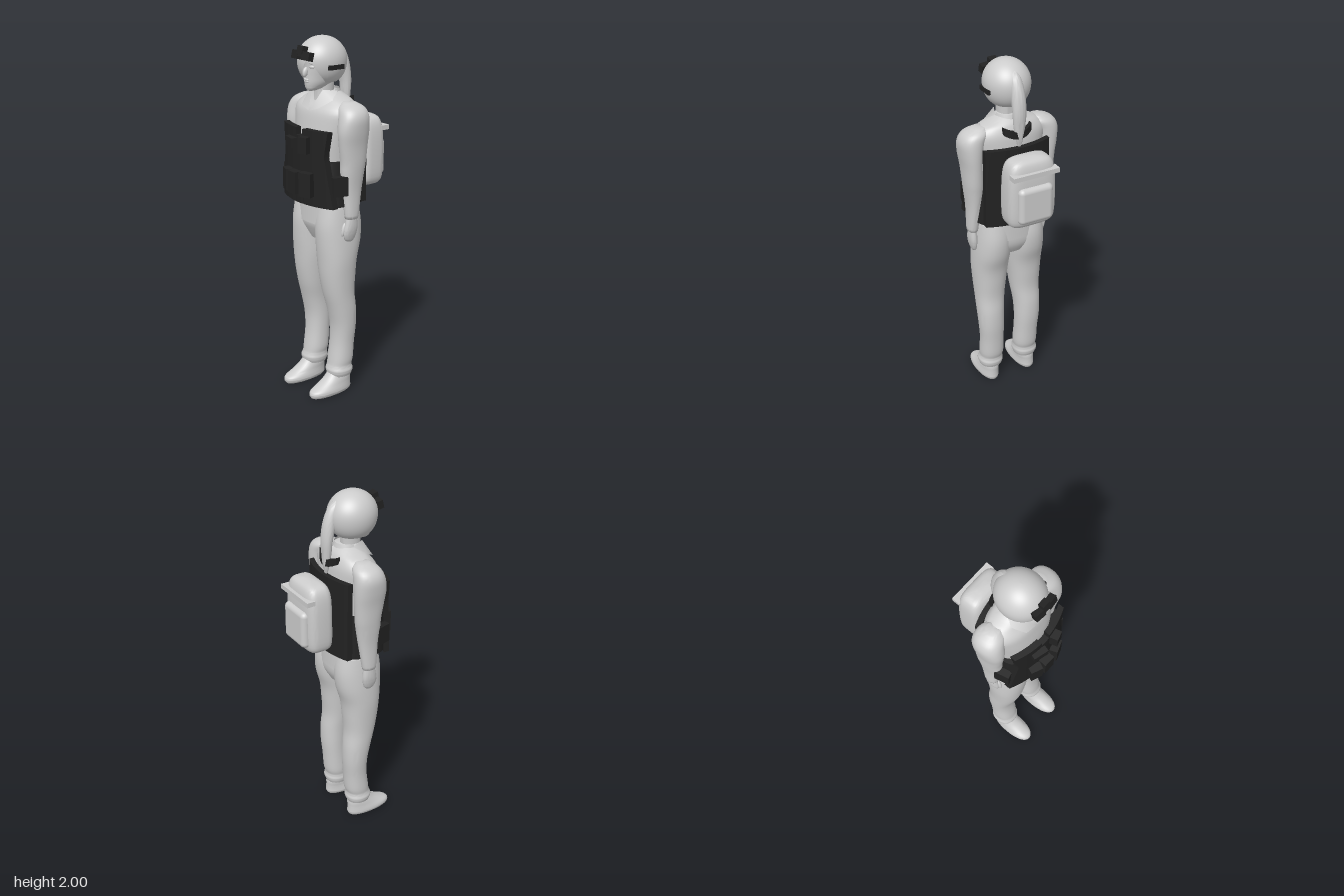
import * as THREE from 'three';
import { toCreasedNormals } from 'three/addons/utils/BufferGeometryUtils.js';
import { RoundedBoxGeometry } from 'three/addons/geometries/RoundedBoxGeometry.js';

const lightGrey = new THREE.MeshStandardMaterial({ color: 0xcccccc, side: THREE.DoubleSide });
lightGrey.name = 'lightGrey';
const black = new THREE.MeshStandardMaterial({ color: 0x222222 });
black.name = 'black';

function add(parent, name, geometry, material, pos = [0, 0, 0], rot = [0, 0, 0]) {
  const m = new THREE.Mesh(geometry, material);
  m.name = name;
  m.position.set(...pos);
  m.rotation.set(...rot);
  parent.add(m);
  return m;
}

// Smooth body through rows [y, centreX, centreZ, radiusX, radiusZ], lowest first
function loft(rows, { n = 2, seg = 32, sub = 4, side = 1 } = {}) {
  const fine = [];
  const last = rows.length - 1;
  for (let i = 0; i < last; i++) {
    const [p, a, b, q] = [rows[Math.max(i - 1, 0)], rows[i], rows[i + 1], rows[Math.min(i + 2, last)]];
    for (let k = 0; k < sub; k++) {
      const t = k / sub;
      fine.push(a.map((v, c) => 0.5 * (2 * v + (b[c] - p[c]) * t
        + (2 * p[c] - 5 * v + 4 * b[c] - q[c]) * t * t + (3 * v - p[c] - 3 * b[c] + q[c]) * t ** 3)));
    }
  }
  fine.push(rows[last]);
  const pos = [], idx = [];
  const pow = (v) => Math.sign(v) * Math.abs(v) ** (2 / n);
  for (const [y, cx, cz, rx, rz] of fine) {
    for (let j = 0; j < seg; j++) {
      const t = (j / seg) * Math.PI * 2;
      pos.push(side * cx + rx * pow(Math.cos(t)), y, cz + rz * pow(Math.sin(t)));
    }
  }
  const top = fine.length - 1;
  const c0 = fine.length * seg;
  for (const r of [fine[0], fine[top]]) pos.push(side * r[1], r[0], r[2]);
  for (let j = 0; j < seg; j++) {
    const k = (j + 1) % seg;
    for (let i = 0; i < top; i++) {
      const a = i * seg + j, b = i * seg + k;
      idx.push(a, a + seg, b, b, a + seg, b + seg);
    }
    idx.push(c0, j, k, c0 + 1, top * seg + k, top * seg + j);
  }
  const g = new THREE.BufferGeometry();
  g.setAttribute('position', new THREE.Float32BufferAttribute(pos, 3));
  g.setIndex(idx);
  return toCreasedNormals(g, 1.0);
}

// Thick plate bent by zAt(x), widened by widthAt(y) and lifted by liftAt(x)
function bentPanel(x0, x1, y0, y1, thick, zAt, widthAt = () => 1, liftAt = () => 0) {
  const g = new THREE.BoxGeometry(1, 1, 1, 14, 12, 1);
  const p = g.attributes.position;
  for (let i = 0; i < p.count; i++) {
    const y = y0 + (p.getY(i) + 0.5) * (y1 - y0);
    const x = (x0 + (p.getX(i) + 0.5) * (x1 - x0)) * widthAt(y);
    p.setXYZ(i, x, y + liftAt(x), zAt(x) + (p.getZ(i) - 0.5) * thick);
  }
  return toCreasedNormals(g, 0.6);
}

// Hair cap with a triangular opening over one side of the face
function hairCap() {
  const cols = 96, rows = 28, pos = [], idx = [];
  for (let j = 0; j < cols; j++) {
    const a = (j / cols) * Math.PI * 2 - Math.PI;
    let end = 2.62;
    if (a > -0.35 && a <= 0.36) end = THREE.MathUtils.mapLinear(a, -0.35, 0.36, 2.62, 1.3);
    else if (a > 0.36 && a < 1.15) end = THREE.MathUtils.mapLinear(a, 0.36, 1.15, 1.3, 2.55);
    for (let i = 0; i <= rows; i++) {
      const th = (i / rows) * end;
      const r = th > Math.PI / 2 ? Math.sin(th) ** 0.7 : Math.sin(th);
      pos.push(-0.01 + 0.126 * r * Math.sin(a), 1.873 + 0.127 * Math.cos(th), 0.075 + 0.136 * r * Math.cos(a));
    }
  }
  for (let j = 0; j < cols; j++) for (let i = 0; i < rows; i++) {
    const a = j * (rows + 1) + i, b = ((j + 1) % cols) * (rows + 1) + i;
    idx.push(a, a + 1, b, b, a + 1, b + 1);
  }
  const g = new THREE.BufferGeometry();
  g.setAttribute('position', new THREE.Float32BufferAttribute(pos, 3));
  g.setIndex(idx);
  g.computeVertexNormals();
  return g;
}

function blob(rx, ry, rz) {
  return new THREE.SphereGeometry(1, 20, 14).scale(rx, ry, rz);
}

export function createModel() {
  const model = new THREE.Group();
  model.name = 'figure';

  // Torso and hips
  add(model, 'torso', loft([
    [1.0, 0, 0.055, 0.19, 0.13], [1.15, 0, 0.055, 0.185, 0.13], [1.3, 0, 0.06, 0.168, 0.125],
    [1.45, 0, 0.06, 0.185, 0.13], [1.55, 0, 0.055, 0.205, 0.125], [1.62, 0, 0.05, 0.21, 0.115],
    [1.665, 0, 0.04, 0.17, 0.09], [1.69, 0, 0.04, 0.11, 0.075], [1.715, 0, 0.05, 0.06, 0.055]], { n: 2.3, seg: 40 }), lightGrey);
  add(model, 'hips', loft([
    [0.9, 0, 0.05, 0.1, 0.09], [0.95, 0, 0.05, 0.175, 0.115], [1.0, 0, 0.055, 0.198, 0.128],
    [1.07, 0, 0.055, 0.197, 0.125], [1.14, 0, 0.055, 0.19, 0.12]], { n: 2.3, seg: 40 }), lightGrey);

  for (const side of [1, -1]) {
    const tag = side > 0 ? 'left' : 'right';
    const limb = (name, rows, n = 2.2) => add(model, tag + name, loft(rows, { n, side }), lightGrey);
    limb('Leg', [
      [0.1, 0.115, 0.058, 0.064, 0.066], [0.13, 0.115, 0.058, 0.073, 0.076], [0.16, 0.113, 0.056, 0.066, 0.068],
      [0.2, 0.112, 0.048, 0.07, 0.07], [0.3, 0.113, 0.038, 0.069, 0.067], [0.4, 0.117, 0.034, 0.073, 0.071],
      [0.5, 0.118, 0.044, 0.077, 0.08], [0.6, 0.113, 0.062, 0.084, 0.088], [0.7, 0.11, 0.068, 0.093, 0.1],
      [0.8, 0.107, 0.068, 0.102, 0.11], [0.9, 0.104, 0.058, 0.104, 0.128], [1.0, 0.1, 0.055, 0.102, 0.133],
      [1.1, 0.098, 0.055, 0.095, 0.118]]);
    limb('Shoe', [
      [0, 0.12, 0.128, 0.048, 0.13], [0.015, 0.12, 0.128, 0.06, 0.138], [0.035, 0.12, 0.125, 0.06, 0.134],
      [0.06, 0.119, 0.1, 0.055, 0.108], [0.09, 0.117, 0.075, 0.052, 0.083], [0.13, 0.115, 0.06, 0.045, 0.06]]);
    limb('Arm', [
      [1.05, 0.215, 0.055, 0.026, 0.036], [1.07, 0.215, 0.055, 0.03, 0.042], [1.2, 0.21, 0.05, 0.037, 0.057],
      [1.3, 0.21, 0.048, 0.047, 0.07], [1.36, 0.213, 0.045, 0.05, 0.076], [1.45, 0.218, 0.048, 0.052, 0.086],
      [1.53, 0.222, 0.05, 0.06, 0.092], [1.6, 0.217, 0.045, 0.068, 0.085], [1.645, 0.195, 0.04, 0.065, 0.07],
      [1.672, 0.17, 0.038, 0.035, 0.035]]);
    limb('Hand', [
      [0.92, 0.207, 0.062, 0.009, 0.016], [0.935, 0.208, 0.063, 0.015, 0.032], [0.97, 0.212, 0.062, 0.021, 0.042],
      [1.01, 0.215, 0.058, 0.023, 0.04], [1.07, 0.215, 0.055, 0.023, 0.03]]);
    add(model, tag + 'Thumb', blob(0.011, 0.038, 0.012), lightGrey, [side * 0.203, 0.99, 0.1], [-0.25, 0, 0]);

    // Folded shirt collar
    const flap = new THREE.BufferGeometry();
    const pts = [[0.004, 1.615, 0.172], [0.045, 1.725, 0.115], [0.075, 1.715, 0.04], [0.112, 1.675, 0.1], [0.07, 1.635, 0.168]];
    flap.setAttribute('position', new THREE.Float32BufferAttribute(pts.flatMap(([x, y, z]) => [side * x, y, z]), 3));
    flap.setIndex(side > 0 ? [0, 4, 1, 1, 4, 3, 1, 3, 2] : [0, 1, 4, 1, 3, 4, 1, 2, 3]);
    flap.computeVertexNormals();
    add(model, tag + 'CollarFlap', flap, lightGrey);
  }
  add(model, 'collarBack', new THREE.CylinderGeometry(0.066, 0.085, 0.06, 24, 1, true, Math.PI / 2, Math.PI), lightGrey, [0, 1.695, 0.05]);

  // Neck, face and hair
  add(model, 'neck', loft([[1.6, 0, 0.075, 0.06, 0.07], [1.68, 0, 0.072, 0.048, 0.056], [1.8, 0, 0.07, 0.05, 0.06]]), lightGrey);
  add(model, 'face', loft([
    [1.722, 0.005, 0.155, 0.018, 0.025], [1.735, 0.005, 0.135, 0.036, 0.055], [1.765, 0.005, 0.105, 0.057, 0.09],
    [1.8, 0.005, 0.09, 0.068, 0.105], [1.85, 0.005, 0.083, 0.08, 0.112], [1.9, 0.002, 0.08, 0.088, 0.118],
    [1.95, 0, 0.08, 0.075, 0.09]]), lightGrey);
  add(model, 'nose', blob(0.012, 0.027, 0.016), lightGrey, [0.01, 1.823, 0.2], [-0.3, 0, 0]);
  add(model, 'upperLip', blob(0.021, 0.006, 0.009), lightGrey, [0.008, 1.783, 0.194]);
  add(model, 'lowerLip', blob(0.018, 0.007, 0.009), lightGrey, [0.008, 1.773, 0.191]);
  add(model, 'leftEye', blob(0.016, 0.008, 0.007), lightGrey, [0.042, 1.85, 0.182], [0, 0.4, 0]);
  add(model, 'leftBrow', blob(0.023, 0.006, 0.008), lightGrey, [0.045, 1.87, 0.182], [0, 0.4, 0]);
  add(model, 'hair', hairCap(), lightGrey);
  add(model, 'ponytail', loft([
    [1.56, -0.002, -0.08, 0.006, 0.006], [1.61, -0.002, -0.08, 0.02, 0.016], [1.68, -0.003, -0.078, 0.032, 0.024],
    [1.76, -0.004, -0.076, 0.038, 0.03], [1.85, -0.005, -0.058, 0.037, 0.037], [1.93, -0.005, -0.025, 0.03, 0.036],
    [1.97, -0.005, 0.01, 0.012, 0.02]]), lightGrey);

  // Goggles and side clip
  const goggles = new THREE.Group();
  goggles.name = 'goggles';
  model.add(goggles);
  for (const s of [1, -1]) {
    add(goggles, 'goggleTube', new THREE.BoxGeometry(0.058, 0.045, 0.035), black, [s * 0.043, 1.908, 0.212], [-0.25, s * 0.12, 0]);
  }
  add(goggles, 'goggleBridge', new THREE.BoxGeometry(0.05, 0.028, 0.03), black, [0, 1.915, 0.215], [-0.25, 0, 0]);
  add(goggles, 'goggleMount', new THREE.BoxGeometry(0.046, 0.045, 0.035), black, [0, 1.935, 0.212], [-0.25, 0, 0]);
  add(model, 'sideClip', new THREE.BoxGeometry(0.018, 0.024, 0.096), black, [0.112, 1.848, 0.077]);

  // Vest: waist band, chest panel with a notch, back panel
  const frontZ = (x) => 0.238 - 1.15 * x * x;
  const frontWidth = (y) => (y > 1.4 ? 1 + (y - 1.4) * 0.95 : 1 + (1.4 - y) * 1.05) * 0.9;
  const vest = new THREE.Group();
  vest.name = 'vest';
  model.add(vest);
  add(vest, 'waistBand', loft([
    [1.12, 0, 0.066, 0.215, 0.168], [1.24, 0, 0.066, 0.203, 0.167], [1.36, 0, 0.066, 0.188, 0.164]], { n: 2.5, seg: 48 }), black);
  add(vest, 'chestPanelCentre', bentPanel(-0.03, 0.027, 1.12, 1.49, 0.035, frontZ), black);
  add(vest, 'chestPanelLeft', bentPanel(0.027, 0.187, 1.12, 1.53, 0.035, frontZ, frontWidth), black);
  add(vest, 'chestPanelRight', bentPanel(-0.187, -0.03, 1.12, 1.53, 0.035, frontZ, frontWidth), black);
  add(vest, 'backPanel', bentPanel(-0.19, 0.19, 1.12, 1.57, 0.03, (x) => -0.076 + 1.1 * x * x), black);
  add(vest, 'neckStrap', bentPanel(-0.08, 0.08, 1.615, 1.655, 0.025, (x) => -0.07 + 4 * x * x, () => 1, (x) => 4 * x * x), black);

  // Pouches: [x, y, width, height, depth]
  for (const [x, y, w, h, d] of [
    [-0.085, 1.24, 0.068, 0.12, 0.045], [-0.01, 1.24, 0.068, 0.12, 0.05], [0.077, 1.24, 0.074, 0.13, 0.045],
    [-0.058, 1.45, 0.085, 0.05, 0.035], [0.063, 1.452, 0.055, 0.088, 0.045]]) {
    add(vest, 'frontPouch', new THREE.BoxGeometry(w, h, d), black, [x, y, frontZ(x) + d / 2 - 0.004], [0, Math.atan(2.3 * x) * 2, 0]);
  }
  for (const s of [1, -1]) {
    add(vest, 'sidePouch', new THREE.BoxGeometry(0.04, 0.105, 0.085), black, [s * 0.212, 1.24, 0.135], [0, -s * 0.25, 0]);
  }

  // Backpack
  const pack = new THREE.Group();
  pack.name = 'backpack';
  model.add(pack);
  add(pack, 'packBody', loft([
    [1.165, 0, -0.18, 0.08, 0.035], [1.18, 0, -0.18, 0.115, 0.06], [1.22, 0, -0.18, 0.136, 0.076],
    [1.35, 0, -0.182, 0.14, 0.078], [1.47, 0, -0.182, 0.135, 0.076], [1.53, 0, -0.182, 0.12, 0.065],
    [1.555, 0, -0.182, 0.09, 0.045], [1.565, 0, -0.182, 0.03, 0.015]], { n: 4, seg: 48 }), lightGrey);
  add(pack, 'packFlapEdge', new THREE.BoxGeometry(0.268, 0.026, 0.05), lightGrey, [0, 1.487, -0.25]);
  add(pack, 'packPocket', new RoundedBoxGeometry(0.2, 0.21, 0.06, 4, 0.028), lightGrey, [0, 1.315, -0.255]);

  return model;
}
